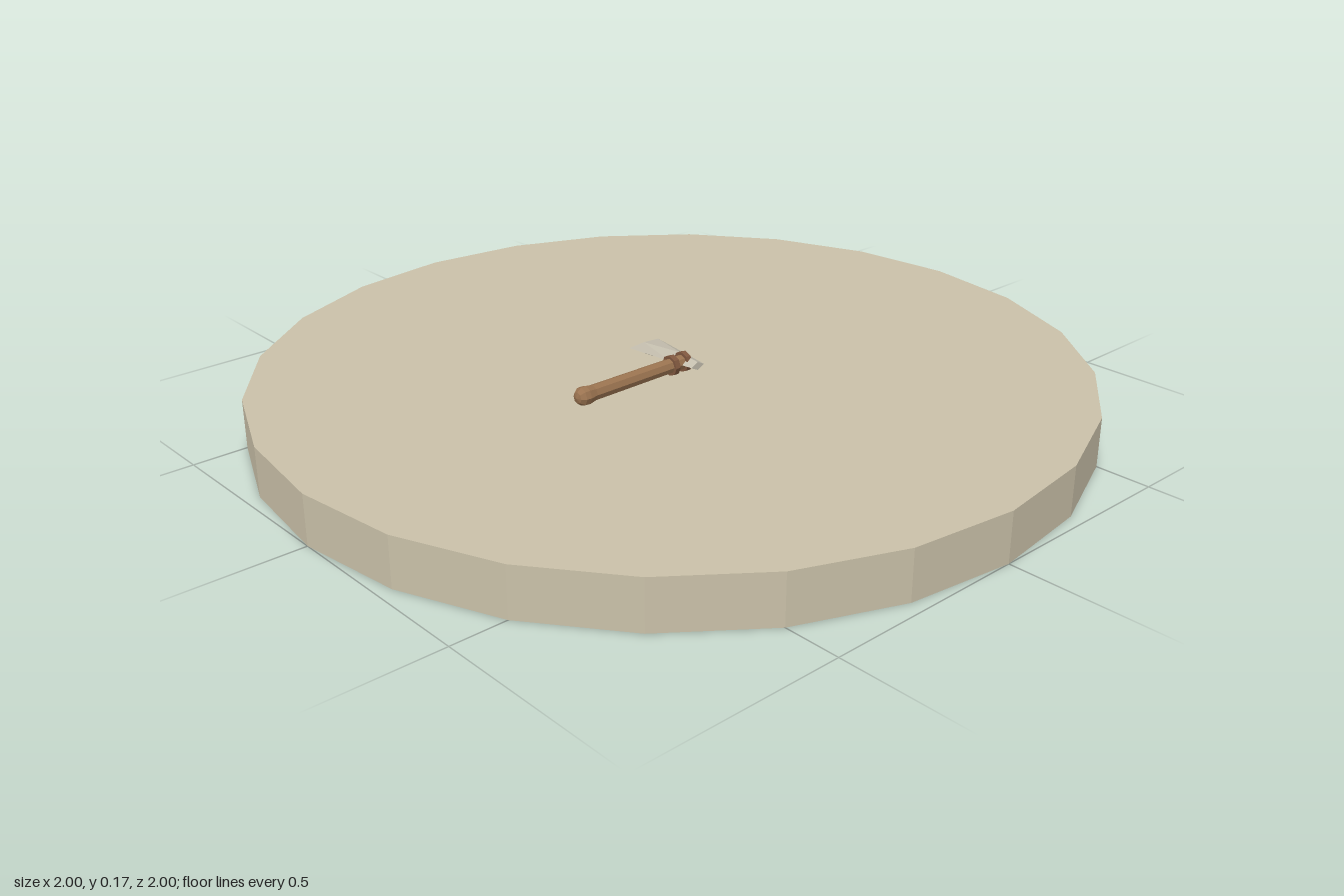
import * as THREE from 'three';

const mat = (name, color) => {
  const m = new THREE.MeshStandardMaterial({ color, flatShading: true });
  m.name = name;
  return m;
};

// Faceted solid from diamond sections [z, halfWidth, halfThickness], ordered back to front
function diamondLoft(sections) {
  const pos = [], idx = [], n = 4;
  for (const [z, w, t] of sections) pos.push(w, 0, z, 0, t, z, -w, 0, z, 0, -t, z);
  for (let s = 0; s < sections.length - 1; s++)
    for (let i = 0; i < n; i++) {
      const a = s * n + i, b = s * n + (i + 1) % n;
      idx.push(a, b, b + n, a, b + n, a + n);
    }
  const e = (sections.length - 1) * n;
  idx.push(0, 2, 1, 0, 3, 2, e, e + 1, e + 2, e, e + 2, e + 3);
  const g = new THREE.BufferGeometry();
  g.setAttribute('position', new THREE.Float32BufferAttribute(pos, 3));
  g.setIndex(idx);
  g.computeVertexNormals();
  return g;
}

export function createModel() {
  const group = new THREE.Group();
  const sand = mat('pale ground', 0xcac1a9);
  const wood = mat('wood', 0x9a7350);
  const stone = mat('stone', 0xc4beae);
  const cord = mat('binding cord', 0x80583f);

  const add = (name, geometry, material, parent) => {
    const mesh = new THREE.Mesh(geometry, material);
    mesh.name = name;
    parent.add(mesh);
    return mesh;
  };

  // Round 24-sided slab
  add('groundDisc', new THREE.CylinderGeometry(1, 1, 0.12, 24), sand, group).position.y = 0.06;

  // Small axe lying on the slab
  const axe = new THREE.Group();
  axe.name = 'axe';
  axe.position.y = 0.145;
  group.add(axe);

  // Handle with a rounded butt, turned to run along x
  const profile = [[0, -0.333], [0.014, -0.329], [0.022, -0.318], [0.023, -0.305],
    [0.019, -0.285], [0.018, -0.05], [0.018, -0.005], [0, -0.005]]
    .map(([r, y]) => new THREE.Vector2(r, y));
  const handle = add('handle', new THREE.LatheGeometry(profile, 8), wood, axe);
  handle.rotation.z = -Math.PI / 2;
  handle.position.z = 0.047;

  // Wedge head: thin wide cutting edge at the back, narrow poll at the front
  add('axeHead', diamondLoft([[-0.1, 0.046, 0.003], [0.03, 0.029, 0.016], [0.092, 0.02, 0.01]]),
    stone, axe).position.x = -0.003;

  // Cord wraps fixing the head to the handle
  for (const x of [-0.045, -0.008]) {
    const wrap = add('cordWrap', new THREE.CylinderGeometry(0.025, 0.025, 0.014, 8), cord, axe);
    wrap.rotation.z = Math.PI / 2;
    wrap.position.set(x, 0, 0.047);
  }
  return group;
}
